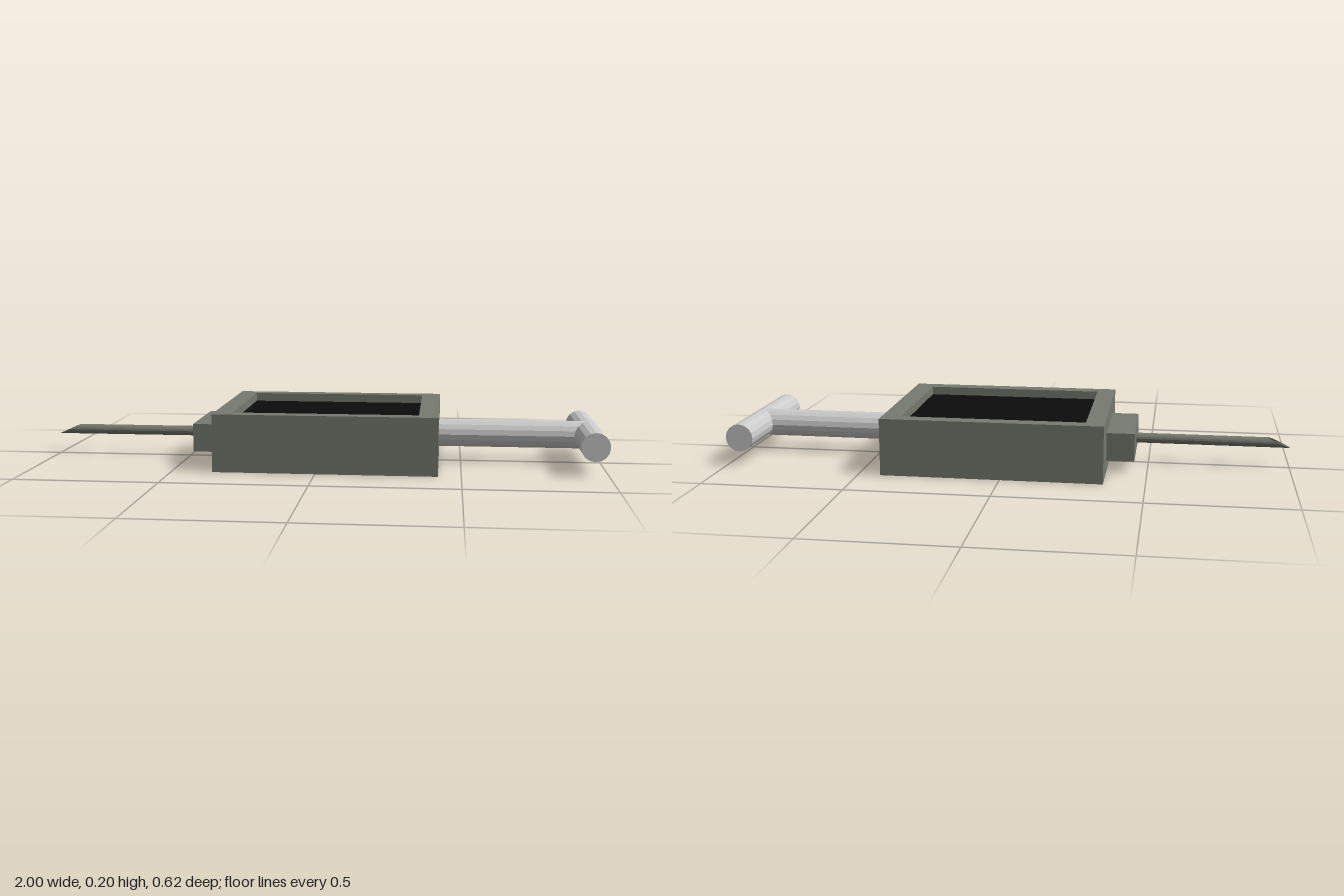
import * as THREE from 'three';

const casing = new THREE.MeshStandardMaterial({ color: 0x777a70, flatShading: true });
const needleMat = new THREE.MeshStandardMaterial({ color: 0x777a70, flatShading: true, side: THREE.DoubleSide });
const black = new THREE.MeshStandardMaterial({ color: 0x0c0c0c });
const grey = new THREE.MeshStandardMaterial({ color: 0xcccccc, flatShading: true });

export function createModel() {
  const group = new THREE.Group();
  const add = (name, geometry, material, x, y, z) => {
    const mesh = new THREE.Mesh(geometry, material);
    mesh.name = name;
    mesh.position.set(x, y, z);
    group.add(mesh);
    return mesh;
  };
  const rect = (target, x, y, w, h) => {
    target.moveTo(x, y);
    target.lineTo(x + w, y);
    target.lineTo(x + w, y + h);
    target.lineTo(x, y + h);
    target.closePath();
    return target;
  };

  // Casing: open rim standing on a solid base, with a dark sunken screen
  const floorY = 0.17;
  const frame = rect(new THREE.Shape(), -0.357, -0.309, 0.778, 0.618);
  frame.holes.push(rect(new THREE.Path(), -0.292, -0.256, 0.645, 0.514));
  const rim = new THREE.ExtrudeGeometry(frame, { depth: 0.202 - floorY, bevelEnabled: false });
  rim.rotateX(-Math.PI / 2);
  add('casingRim', rim, casing, 0, floorY, 0);
  add('casingBase', new THREE.BoxGeometry(0.778, floorY, 0.618), casing, 0.032, floorY / 2, 0);
  add('screen', new THREE.PlaneGeometry(0.645, 0.514).rotateX(-Math.PI / 2), black, 0.0305, floorY + 0.002, -0.001);

  // Block that holds the needle
  add('needleMount', new THREE.BoxGeometry(0.1, 0.1, 0.316), casing, -0.405, 0.093, 0);

  // Hollow needle, its tip cut at a slant so the lower edge reaches furthest
  const r = 0.018;
  const needle = new THREE.CylinderGeometry(r, r, 0.56, 16, 1, true).rotateZ(Math.PI / 2);
  const p = needle.attributes.position;
  for (let i = 0; i < p.count; i++) {
    if (p.getX(i) < 0) p.setX(i, -0.28 + 0.08 * (p.getY(i) + r) / (2 * r));
  }
  needle.computeVertexNormals();
  add('needle', needle, needleMat, -0.72, 0.092, -0.003);

  // T-shaped handle
  add('handleRod', new THREE.CylinderGeometry(0.05, 0.05, 0.54, 16).rotateZ(Math.PI / 2), grey, 0.68, 0.102, 0);
  add('handleGrip', new THREE.CylinderGeometry(0.05, 0.05, 0.522, 16).rotateX(Math.PI / 2), grey, 0.95, 0.102, 0);

  return group;
}
